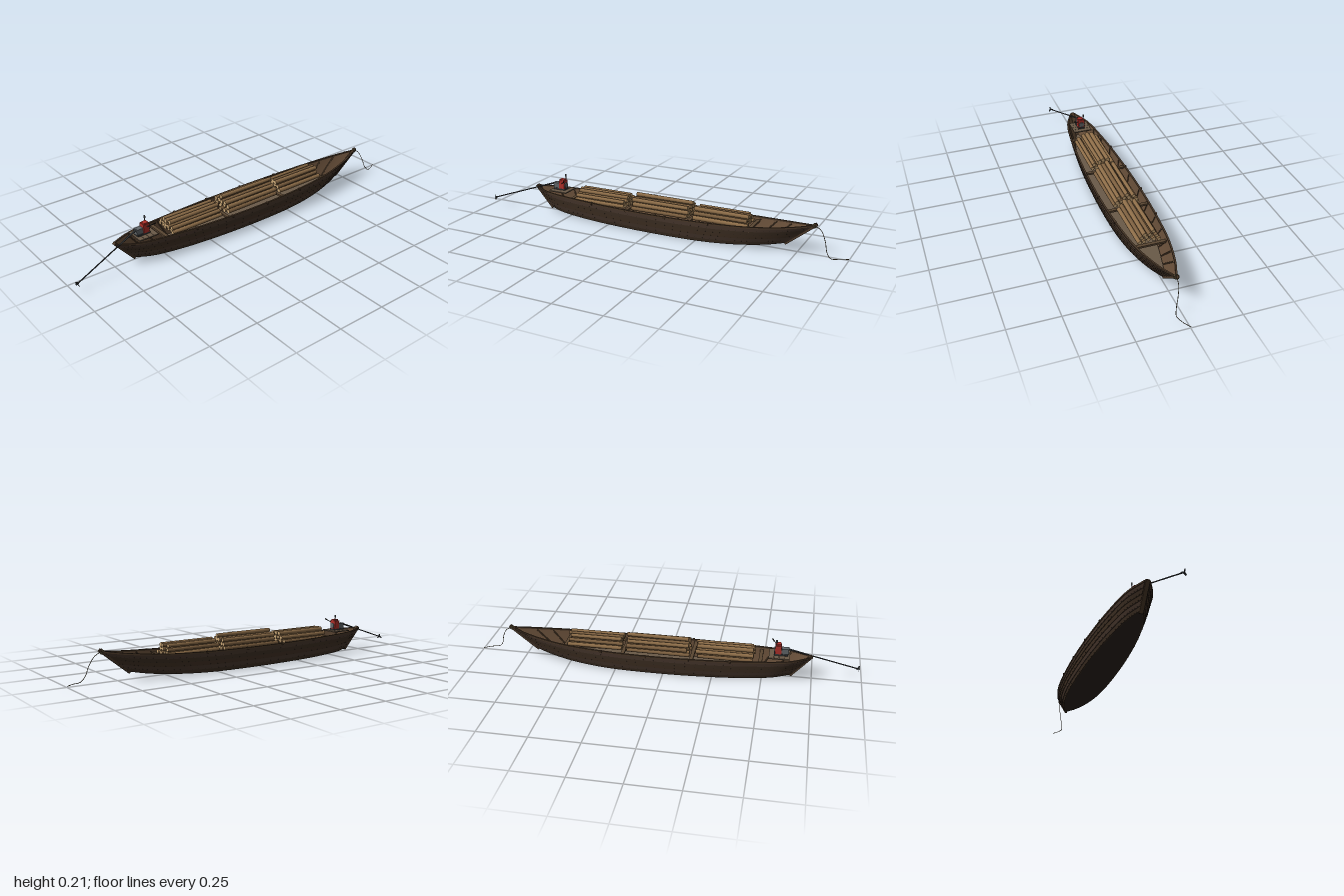
import * as THREE from 'three';
import { mergeGeometries, toCreasedNormals } from 'three/addons/utils/BufferGeometryUtils.js';

const V = (x, y, z) => new THREE.Vector3(x, y, z);
const mat = (color, side = THREE.FrontSide) => new THREE.MeshStandardMaterial({ color, side });
const M = {
  planks: [mat(0x3b2d21), mat(0x44342a), mat(0x3f2f22)],
  lining: mat(0x644c37, THREE.DoubleSide), bottom: mat(0x2a221b), floor: mat(0x6a5a48),
  rail: mat(0x4a3828), beam: mat(0x5a4632), nail: mat(0x1f1a16),
  bark: mat(0x8d6d48), bark2: mat(0x7c5f3f), cut: mat(0xc9a676),
  red: mat(0xb0302a), grey: mat(0x62676a), metal: mat(0x35383a), rope: mat(0x6f6146),
};

// Sheer line and bottom edge of the left side, stern to bow
const curve = pts => new THREE.CatmullRomCurve3(pts.map(p => V(...p)));
const sheer = curve([[-0.74, 0.124, 0.012], [-0.64, 0.117, 0.058], [-0.45, 0.112, 0.088],
  [-0.2, 0.108, 0.107], [0.1, 0.107, 0.113], [0.35, 0.11, 0.103], [0.55, 0.118, 0.082],
  [0.72, 0.133, 0.042], [0.82, 0.147, 0.005]]);
const chine = curve([[-0.645, 0.02, 0.008], [-0.56, 0.013, 0.04], [-0.4, 0.007, 0.066],
  [-0.18, 0.004, 0.084], [0.08, 0.003, 0.09], [0.3, 0.005, 0.083], [0.47, 0.013, 0.062],
  [0.6, 0.025, 0.032], [0.69, 0.04, 0.005]]);
const N = 48, STRAKES = 5;

// Point on the hull side: t along, u up, out = offset outwards
function hull(t, u, out = 0) {
  const p = chine.getPoint(t).lerp(sheer.getPoint(t), u);
  p.z = Math.max(0.001, p.z + Math.sin(Math.PI * u) * 0.005 * Math.sin(Math.PI * t) + out);
  return p;
}

// t of the sheer line at a given x
function tAt(x) {
  let lo = 0, hi = 1;
  for (let i = 0; i < 24; i++) {
    const m = (lo + hi) / 2;
    if (sheer.getPoint(m).x < x) lo = m; else hi = m;
  }
  return lo;
}

// Skin a row of cross-sections; side -1 mirrors it in z
function loft(section, side = 1, closed = true) {
  const rings = [], pos = [];
  for (let i = 0; i <= N; i++) rings.push(section(i / N).map(p => V(p.x, p.y, p.z * side)));
  const tri = (a, b, c) => (side > 0 ? [a, b, c] : [a, c, b]).forEach(p => pos.push(p.x, p.y, p.z));
  const n = rings[0].length;
  for (let i = 0; i < N; i++) {
    for (let j = 0; j < (closed ? n : n - 1); j++) {
      const k = (j + 1) % n, a = rings[i], b = rings[i + 1];
      tri(a[j], b[j], b[k]);
      tri(a[j], b[k], a[k]);
    }
  }
  if (closed) {
    const a = rings[0], b = rings[N];
    for (let j = 1; j < n - 1; j++) {
      tri(a[0], a[j], a[j + 1]);
      tri(b[0], b[j + 1], b[j]);
    }
  }
  const g = new THREE.BufferGeometry();
  g.setAttribute('position', new THREE.Float32BufferAttribute(pos, 3));
  return toCreasedNormals(g, 0.5);
}

function add(parent, name, geometry, material, x = 0, y = 0, z = 0) {
  const m = new THREE.Mesh(geometry, material);
  m.name = name;
  m.position.set(x, y, z);
  parent.add(m);
  return m;
}
const box = (p, name, m, w, h, d, x, y, z) => add(p, name, new THREE.BoxGeometry(w, h, d), m, x, y, z);

// Round rod between two points
function rod(parent, name, a, b, r, m, r2 = r, sides = 10) {
  const o = add(parent, name, new THREE.CylinderGeometry(r2, r, a.distanceTo(b), sides), m);
  o.position.copy(a).lerp(b, 0.5);
  o.quaternion.setFromUnitVectors(V(0, 1, 0), b.clone().sub(a).normalize());
  return o;
}

// Squared post between two points in the centre plane
function post(parent, name, a, b, w, d) {
  const o = box(parent, name, M.rail, w, a.distanceTo(b), d, 0, 0, 0);
  o.position.copy(a).lerp(b, 0.5);
  o.rotation.z = Math.atan2(b.y - a.y, b.x - a.x) - Math.PI / 2;
}

function buildHull(boat) {
  const slab = (y0, y1, inset) => t => {
    const p = chine.getPoint(t), z = Math.max(0.001, p.z - inset);
    return [V(p.x, p.y + y0, z), V(p.x, p.y + y1, z), V(p.x, p.y + y1, -z), V(p.x, p.y + y0, -z)];
  };
  add(boat, 'bottom', loft(slab(0, 0.006, 0)), M.bottom);
  add(boat, 'floorBoards', loft(slab(0.012, 0.017, 0.002)), M.floor);
  const nails = [];
  for (const side of [1, -1]) {
    // Overlapping planks
    for (let s = 0; s < STRAKES; s++) {
      const u0 = Math.max(0, s / STRAKES - 0.02), u1 = (s + 1) / STRAKES;
      add(boat, 'plank', loft(t => [hull(t, u0, 0.003), hull(t, u1, 0), hull(t, u1, -0.003), hull(t, u0, -0.003)], side),
        M.planks[s % 3]);
      for (let i = 1; i < 44; i++) {
        const p = hull(i / 44, u0 + 0.035, 0.003);
        nails.push(new THREE.BoxGeometry(0.002, 0.002, 0.002).translate(p.x, p.y, p.z * side));
      }
    }
    add(boat, 'innerLining', loft(t => [hull(t, 0.05, -0.0045), hull(t, 0.5, -0.0045), hull(t, 0.98, -0.0045)], side, false), M.lining);
    // Rail along the top edge
    add(boat, 'gunwale', loft(t => {
      const p = sheer.getPoint(t), a = p.z + 0.003, b = Math.max(0.0005, p.z - 0.006);
      return [V(p.x, p.y - 0.004, a), V(p.x, p.y + 0.004, a), V(p.x, p.y + 0.004, b), V(p.x, p.y - 0.004, b)];
    }, side), M.rail);
    // Ribs on the inside
    for (let i = 1; i < 14; i++) {
      const t = 0.06 + i * 0.062;
      const c = new THREE.CatmullRomCurve3([0.1, 0.5, 0.95].map(u => {
        const p = hull(t, u, -0.006);
        return V(p.x, p.y, p.z * side);
      }));
      add(boat, 'rib', new THREE.TubeGeometry(c, 6, 0.0035, 5), M.beam);
    }
    // Blocks on the rail
    for (const x of [-0.34, -0.13, 0.09, 0.32]) {
      const p = sheer.getPoint(tAt(x));
      box(boat, 'railBlock', M.rail, 0.01, 0.012, 0.013, x, p.y, p.z * side);
    }
  }
  add(boat, 'nails', mergeGeometries(nails), M.nail);
  post(boat, 'stem', V(0.685, 0.036, 0), V(0.838, 0.158, 0), 0.016, 0.011);
  post(boat, 'sternPost', V(-0.642, 0.014, 0), V(-0.744, 0.13, 0), 0.014, 0.02);
  for (const x of [-0.49, -0.145, 0.21, 0.52]) {
    box(boat, 'crossBeam', M.beam, 0.018, 0.01, 2 * sheer.getPoint(tAt(x)).z - 0.008, x, 0.098, 0);
  }
}

// Three stacks of poles lying along the boat
function buildCargo(boat) {
  let seed = 7;
  const rnd = () => (seed = (seed * 16807) % 2147483647) / 2147483647;
  const cargo = new THREE.Group();
  cargo.name = 'cargo';
  boat.add(cargo);
  const stacks = [[-0.31, 0.3, [6, 5, 3]], [0.035, 0.335, [6, 5, 4, 1]], [0.365, 0.29, [5, 4, 3]]];
  for (const [x, length, rows] of stacks) {
    rows.forEach((count, row) => {
      for (let i = 0; i < count; i++) {
        const r = 0.0098 + rnd() * 0.002, l = length - rnd() * 0.025;
        const g = new THREE.CylinderGeometry(r, r * 0.92, l, 12).rotateZ(Math.PI / 2);
        const log = add(cargo, 'log', g, [rnd() > 0.4 ? M.bark : M.bark2, M.cut, M.cut],
          x + (rnd() - 0.5) * 0.012, 0.108 + row * 0.0195, (i - (count - 1) / 2) * 0.0245 + (rnd() - 0.5) * 0.003);
        log.rotation.y = (rnd() - 0.5) * 0.015;
      }
    });
  }
}

// Engine with a long tail shaft
function buildMotor(boat) {
  const motor = new THREE.Group();
  motor.name = 'motor';
  boat.add(motor);
  for (let i = 0; i < 4; i++) box(motor, 'platformBoard', M.floor, 0.025, 0.006, 0.1, -0.622 + i * 0.0265, 0.124, 0);
  box(motor, 'engineMount', M.metal, 0.07, 0.008, 0.036, -0.59, 0.131, 0);
  box(motor, 'gearbox', M.grey, 0.036, 0.03, 0.028, -0.61, 0.148, 0);
  box(motor, 'engineBlock', M.red, 0.032, 0.045, 0.036, -0.575, 0.157, 0);
  box(motor, 'fuelTank', M.red, 0.026, 0.01, 0.026, -0.575, 0.181, 0.003);
  const wheel = add(motor, 'flywheel', new THREE.CylinderGeometry(0.014, 0.014, 0.006, 16), M.grey, -0.557, 0.152, 0);
  wheel.rotation.z = Math.PI / 2;
  rod(motor, 'exhaustPipe', V(-0.565, 0.17, -0.013), V(-0.565, 0.2, -0.013), 0.002, M.metal);
  rod(motor, 'muffler', V(-0.565, 0.197, -0.013), V(-0.565, 0.21, -0.013), 0.0045, M.grey);
  rod(motor, 'tiller', V(-0.575, 0.163, 0.015), V(-0.545, 0.183, 0.04), 0.002, M.metal);
  rod(motor, 'tillerGrip', V(-0.551, 0.179, 0.035), V(-0.541, 0.187, 0.045), 0.0032, M.nail);
  const a = V(-0.62, 0.16, 0), b = V(-0.988, 0.04, 0.07), dir = b.clone().sub(a).normalize();
  rod(motor, 'shaftSleeve', a, a.clone().lerp(b, 0.3), 0.005, M.metal, 0.0035);
  rod(motor, 'shaft', a, b, 0.003, M.metal);
  // Propeller
  const prop = new THREE.Group();
  prop.name = 'propeller';
  prop.position.copy(b).addScaledVector(dir, -0.006);
  prop.quaternion.setFromUnitVectors(V(0, 1, 0), dir);
  motor.add(prop);
  add(prop, 'hub', new THREE.CylinderGeometry(0.003, 0.005, 0.014, 10), M.metal);
  for (let i = 0; i < 3; i++) {
    const arm = new THREE.Group();
    arm.rotation.y = i * Math.PI * 2 / 3;
    prop.add(arm);
    box(arm, 'blade', M.metal, 0.014, 0.0015, 0.008, 0.009, 0, 0).rotation.x = 0.6;
  }
}

// Mooring rope tied around the stem head
function buildRope(boat) {
  const path = new THREE.CatmullRomCurve3([V(0.838, 0.145, 0), V(0.862, 0.128, 0.003), V(0.885, 0.085, 0.014),
    V(0.9, 0.035, 0.026), V(0.92, 0.011, 0.033), V(0.96, 0.009, 0.022), V(1, 0.008, -0.002)]);
  add(boat, 'mooringRope', new THREE.TubeGeometry(path, 40, 0.0016, 6), M.rope);
  for (let i = 0; i < 3; i++) {
    const loop = add(boat, 'ropeTurn', new THREE.TorusGeometry(0.0105, 0.002, 6, 16), M.rope, 0.823 + i * 0.004, 0.146 + i * 0.0032, 0);
    loop.rotation.set(-Math.PI / 2, 0.89, 0);
  }
}

export function createModel() {
  const boat = new THREE.Group();
  boat.name = 'cargoBoat';
  buildHull(boat);
  buildCargo(boat);
  buildMotor(boat);
  buildRope(boat);
  return boat;
}
